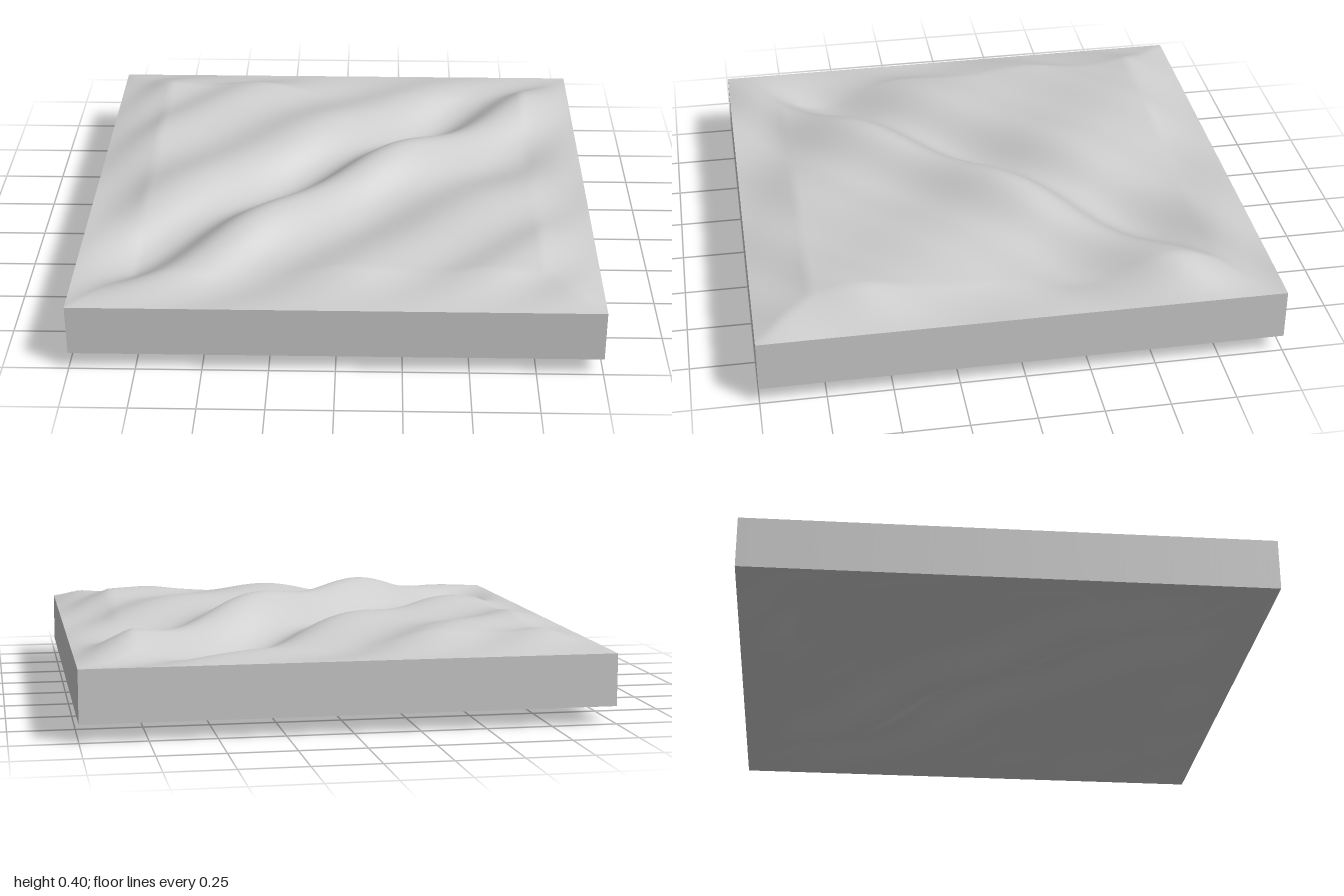
import * as THREE from 'three';

const EDGE_FADE = 0.22;
const bell = (v, width) => Math.exp(-((v / width) ** 2));

// Two crossing wave trains along the diagonals, on a broad central swell
function waveHeight(x, z) {
  const s = x + z, t = x - z;
  // long crests, closer together toward the corners
  const mainAmp = 0.012 + 0.064 * bell(s, 0.4) * bell(t, 2.4);
  const mainWave = mainAmp * Math.sin(s * (7.6 + 2 * Math.abs(s)));
  // gentle undulation along each crest
  const crossAmp = 0.014 + 0.014 * bell(s, 0.5);
  const crossWave = -crossAmp * Math.cos(5.4 * (t + 0.24));
  const swell = 0.01 + 0.052 * bell(t + 0.15, 0.7) + 0.012 * bell(s + 1.15, 0.4);
  // fade to a straight rim
  const edge = Math.min(1 - Math.abs(x), 1 - Math.abs(z));
  const fade = Math.min(1, Math.max(0, edge / EDGE_FADE));
  return (mainWave + crossWave + swell) * fade;
}

export function createModel() {
  const group = new THREE.Group();
  group.name = 'wavySlab';
  const grey = new THREE.MeshStandardMaterial({ color: 0xcccccc });
  grey.name = 'light grey';

  // slab whose top and underside follow the same waves
  const geo = new THREE.BoxGeometry(2, 0.2, 2, 100, 1, 100);
  const p = geo.attributes.position;
  for (let i = 0; i < p.count; i++) {
    p.setY(i, p.getY(i) + 0.165 + waveHeight(p.getX(i), p.getZ(i)));
  }
  geo.computeVertexNormals();

  const slab = new THREE.Mesh(geo, grey);
  slab.name = 'slab';
  group.add(slab);
  return group;
}
